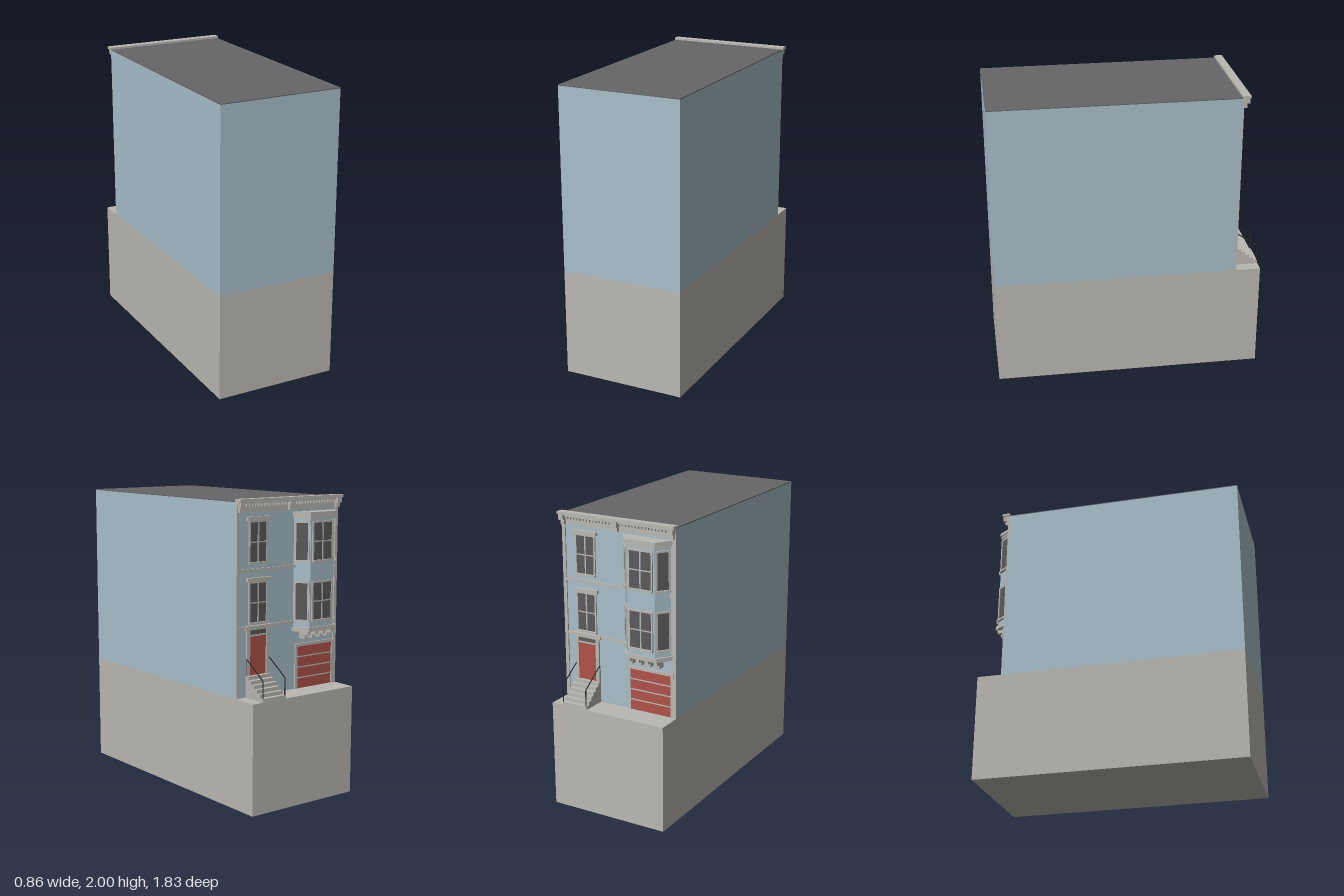
import * as THREE from 'three';

const mat = (name, color) => Object.assign(new THREE.MeshStandardMaterial({ color }), { name });

export function createModel() {
  const wall = mat('blue wall', 0xa9bfca), stone = mat('stone', 0xbab8b2), roofing = mat('roofing', 0x666668);
  const glass = mat('dark glass', 0x5a5a5c), red = mat('red paint', 0xb0524a), iron = mat('black iron', 0x2b2b2d);
  const model = new THREE.Group();
  model.name = 'townhouse';

  const add = (parent, name, geo, m) => {
    const mesh = new THREE.Mesh(geo, m);
    mesh.name = name;
    parent.add(mesh);
    return mesh;
  };
  // Box given by its limits on each axis
  const box = (parent, name, m, x0, x1, y0, y1, z0, z1) => {
    const geo = new THREE.BoxGeometry(x1 - x0, y1 - y0, z1 - z0);
    geo.translate((x0 + x1) / 2, (y0 + y1) / 2, (z0 + z1) / 2);
    return add(parent, name, geo, m);
  };
  const group = (name, x, y, z, turn) => {
    const g = new THREE.Group();
    g.name = name;
    g.position.set(x, y, z);
    g.rotation.y = turn;
    model.add(g);
    return g;
  };
  // Vertical prism from [x, z] corners
  const prism = (name, m, pts, y0, y1) => {
    const shape = new THREE.Shape(pts.map(([x, z]) => new THREE.Vector2(x, -z)));
    const geo = new THREE.ExtrudeGeometry(shape, { depth: y1 - y0, bevelEnabled: false });
    geo.rotateX(-Math.PI / 2).translate(0, y0, 0);
    return add(model, name, geo, m);
  };

  // Ground block, house body and roof
  const F = -0.738;
  box(model, 'groundBlock', stone, -0.425, 0.425, 0, 0.732, -0.914, 0.914);
  box(model, 'houseBody', wall, -0.425, 0.425, 0.732, 1.98, F, 0.914);
  box(model, 'roof', roofing, -0.425, 0.425, 1.98, 1.986, F, 0.914);

  // Cornice with frieze, dentils and brackets
  box(model, 'cornice', stone, -0.432, 0.432, 1.983, 2, -0.79, -0.735);
  box(model, 'corniceBed', stone, -0.425, 0.425, 1.968, 1.983, -0.772, F);
  box(model, 'frieze', stone, -0.425, 0.425, 1.915, 1.968, -0.748, F);
  for (let i = 0; i < 34; i++) {
    const x = -0.4 + i * 0.8 / 33;
    box(model, 'dentil', stone, x - 0.006, x + 0.006, 1.95, 1.968, -0.762, -0.748);
  }
  for (const x of [-0.405, 0, 0.405]) {
    box(model, 'bracket', stone, x - 0.018, x + 0.018, 1.945, 1.983, -0.785, F);
    box(model, 'bracketFoot', stone, x - 0.014, x + 0.014, 1.915, 1.945, -0.768, F);
  }

  // Corner strips and belt courses
  for (const s of [-1, 1])
    box(model, 'cornerStrip', stone, s * 0.4125 - 0.0125, s * 0.4125 + 0.0125, 0.732, 1.915, -0.746, F);
  for (const y of [1.175, 1.54])
    box(model, 'beltCourse', stone, -0.4, 0.4, y, y + 0.018, -0.747, F);

  // Window facing local +z, with its sill line at the group origin
  const addWindow = (name, x, y, z, turn, w, h, cols, rows, head) => {
    const g = group(name, x, y, z, turn), r = w / 2, f = 0.012;
    box(g, 'glass', glass, -r, r, 0, h, 0, 0.004);
    for (const s of [-1, 1])
      box(g, 'jamb', stone, s * (r + f / 2) - f / 2, s * (r + f / 2) + f / 2, 0, h, 0, 0.009);
    box(g, 'topRail', stone, -r - f, r + f, h, h + f, 0, 0.009);
    box(g, 'sill', stone, -r - f, r + f, -0.014, 0, 0, 0.016);
    for (let i = 1; i < cols; i++) {
      const mx = -r + w * i / cols;
      box(g, 'mullion', stone, mx - 0.005, mx + 0.005, 0, h, 0, 0.007);
    }
    for (let i = 1; i < rows; i++)
      box(g, 'glazingBar', stone, -r, r, h * i / rows - 0.004, h * i / rows + 0.004, 0, 0.007);
    if (head) box(g, 'head', stone, -r - 0.028, r + 0.028, h + f, h + f + 0.024, 0, 0.02);
  };
  addWindow('middleWindow', 0.25, 1.215, F, Math.PI, 0.13, 0.25, 2, 2, true);
  addWindow('upperWindow', 0.25, 1.6, F, Math.PI, 0.13, 0.25, 2, 2, true);

  // Bay window, two storeys tall
  const cx = -0.217;
  const bayPts = (front, back, z) => [[cx - back, F], [cx + back, F], [cx + front, z], [cx - front, z]];
  prism('bayBody', wall, bayPts(0.1, 0.168, -0.826), 1.14, 1.88);
  prism('bayCap', stone, bayPts(0.115, 0.18, -0.838), 1.877, 1.9);
  prism('bayCapMoulding', stone, bayPts(0.106, 0.174, -0.832), 1.86, 1.877);
  prism('bayFoot', stone, bayPts(0.115, 0.18, -0.836), 1.122, 1.15);
  for (const y of [1.2, 1.59]) {
    addWindow('bayFrontWindow', cx, y, -0.826, Math.PI, 0.155, 0.24, 2, 2, false);
    for (const s of [-1, 1])
      addWindow('baySideWindow', cx + s * 0.134, y, -0.782, Math.atan2(s * 0.088, -0.068), 0.076, 0.24, 1, 1, false);
  }
  // Stepped corbels under the bay
  for (let i = 0; i < 4; i++) {
    const x = cx - 0.1 + i * 0.2 / 3;
    box(model, 'corbel', stone, x - 0.012, x + 0.012, 1.095, 1.122, -0.822, F);
    box(model, 'corbelFoot', stone, x - 0.012, x + 0.012, 1.068, 1.095, -0.79, F);
  }

  // Garage door with rails and surround
  box(model, 'garageDoor', red, -0.385, -0.085, 0.732, 1.015, -0.742, F);
  for (let i = 1; i < 4; i++) {
    const y = 0.732 + i * 0.071;
    box(model, 'garageRail', stone, -0.385, -0.085, y - 0.004, y + 0.004, -0.745, F);
  }
  for (const x of [-0.395, -0.075])
    box(model, 'garageJamb', stone, x - 0.01, x + 0.01, 0.732, 1.015, -0.748, F);
  box(model, 'garageHead', stone, -0.405, -0.065, 1.015, 1.035, -0.75, F);

  // Entrance door, transom and surround
  box(model, 'entranceDoor', red, 0.183, 0.317, 0.87, 1.13, -0.742, F);
  box(model, 'transomBar', stone, 0.183, 0.317, 1.125, 1.136, -0.746, F);
  box(model, 'transom', glass, 0.183, 0.317, 1.136, 1.168, -0.742, F);
  for (const x of [0.17, 0.33])
    box(model, 'doorPilaster', stone, x - 0.013, x + 0.013, 0.732, 1.168, -0.75, F);
  box(model, 'doorHead', stone, 0.142, 0.358, 1.168, 1.195, -0.758, F);

  // Entrance steps
  for (let i = 0; i < 6; i++)
    box(model, 'step', stone, 0.155, 0.345, 0.732, 0.755 + i * 0.0235, -0.912 + i * 0.029, F);

  // Railings: sloping handrail with a post at the foot
  const rail = (name, a, b) =>
    add(model, name, new THREE.TubeGeometry(new THREE.LineCurve3(a, b), 1, 0.004, 6), iron);
  for (const x of [0.16, 0.34]) {
    const top = new THREE.Vector3(x, 0.985, F), bend = new THREE.Vector3(x, 0.868, -0.908);
    rail('handrail', top, bend);
    rail('railPost', bend, new THREE.Vector3(x, 0.75, -0.908));
    rail('railPost', top.clone().setZ(-0.742), new THREE.Vector3(x, 0.87, -0.742));
  }
  return model;
}
